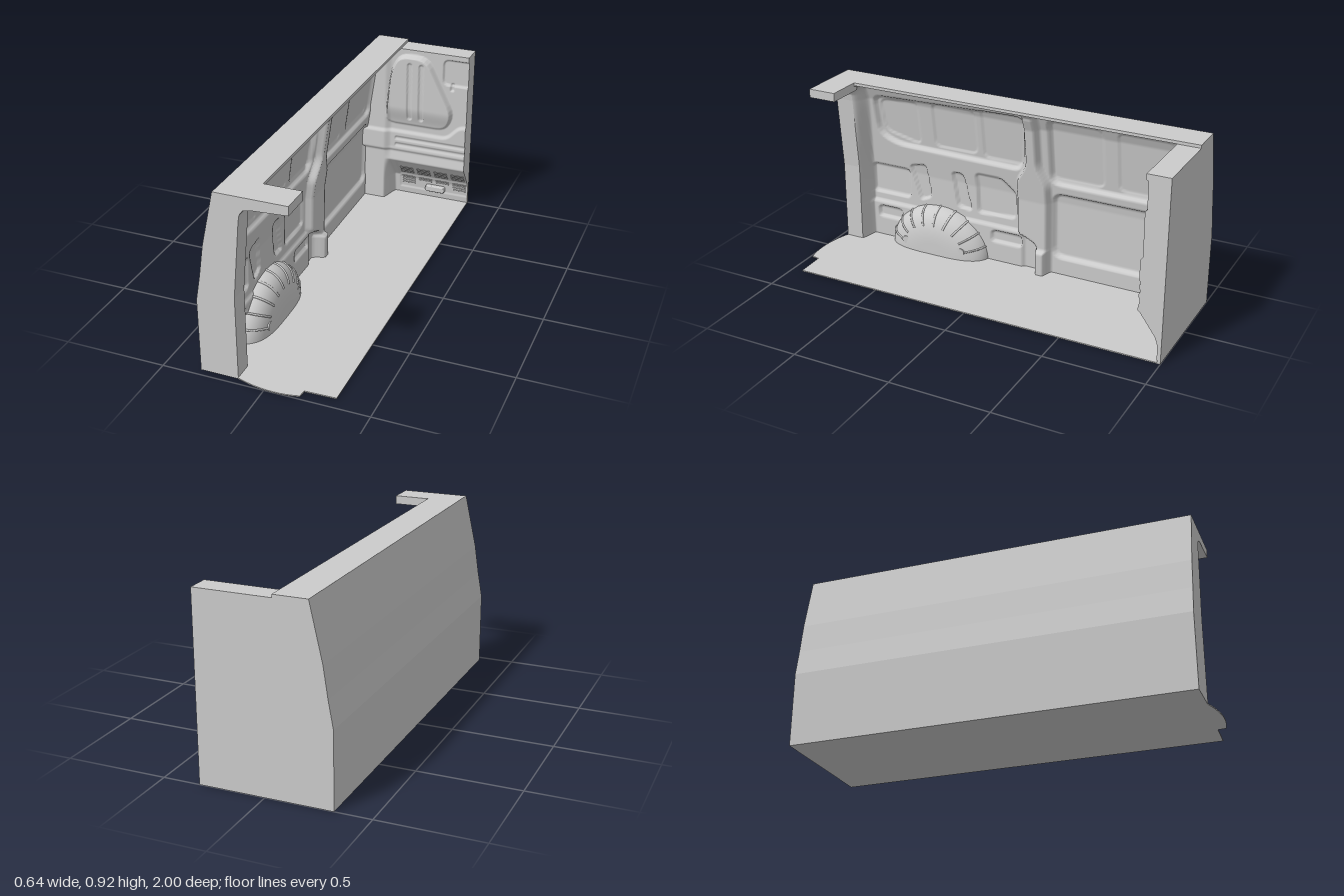
import * as THREE from 'three';

const grey = new THREE.MeshStandardMaterial({ color: 0xcccccc, side: THREE.DoubleSide });
const V = (a) => new THREE.Vector2(a[0], a[1]);
const step = THREE.MathUtils.smoothstep;
const rect = (a, b, c, d) => [[a, c], [b, c], [b, d], [a, d]];

// x at height y along a profile of [x, y] points
function profileX(pts, y) {
  const i = Math.max(1, pts.findIndex((p) => p[1] >= y));
  const [a, b] = [pts[i - 1], pts[i]];
  return a[0] + ((b[0] - a[0]) * (y - a[1])) / (b[1] - a[1]);
}

// polygon with filleted corners
function rounded(pts, r) {
  return pts.flatMap((p, i) => {
    const c = V(p);
    const cut = (q) => c.clone().lerp(q, Math.min(0.45, r / c.distanceTo(q)));
    const before = cut(V(pts.at(i - 1))), after = cut(V(pts[(i + 1) % pts.length]));
    return new THREE.QuadraticBezierCurve(before, c, after).getPoints(4);
  });
}

// pressing: height h inside a filleted polygon, easing in over width w
function pressing(h, r, w, pts) {
  const poly = rounded(pts, r), box = new THREE.Box2().setFromPoints(poly);
  return (x, y) => {
    if (!box.containsPoint(V([x, y]))) return 0;
    let d = 1, inside = false;
    poly.forEach((a, i) => {
      const b = poly[(i + 1) % poly.length], ex = b.x - a.x, ey = b.y - a.y;
      const t = THREE.MathUtils.clamp(((x - a.x) * ex + (y - a.y) * ey) / (ex * ex + ey * ey), 0, 1);
      d = Math.min(d, Math.hypot(x - a.x - ex * t, y - a.y - ey * t));
      if (a.y > y !== b.y > y && x < a.x + ((y - a.y) / ey) * ex) inside = !inside;
    });
    return inside ? h * step(d, 0, w) : 0;
  };
}
const total = (list, x, y) => list.reduce((s, f) => s + f(x, y), 0);

// pressed sheet: a plane whose vertices follow fn(u, v) => [x, y, z]
function sheet(nu, nv, fn) {
  const g = new THREE.PlaneGeometry(1, 1, nu, nv), p = g.attributes.position;
  for (let i = 0; i < p.count; i++) p.setXYZ(i, ...fn(p.getX(i) + 0.5, p.getY(i) + 0.5));
  g.computeVertexNormals();
  return g;
}
const extrude = (pts, z0, z1) =>
  new THREE.ExtrudeGeometry(new THREE.Shape(pts.map(V)), { depth: z1 - z0, bevelEnabled: false }).translate(0, 0, z0);

// body side profiles in (x, y): outer skin, door frame and inner structure
const outer = [[-0.325, 0], [-0.325, 0.37], [-0.302, 0.5], [-0.28, 0.65], [-0.22, 0.92]];
const frame = [[-0.14, 0], [-0.14, 0.42], [-0.105, 0.8], [-0.099, 0.835], [-0.083, 0.857], [-0.05, 0.866], [0.125, 0.92]];
const inner = [[-0.25, 0], [-0.24, 0.4], [-0.18, 0.8], [-0.15, 0.87], [-0.055, 0.906]];

// side wall pressings in (z, y)
const wallParts = [];
const pressWall = (h, r, w, ...shapes) => shapes.forEach((s) => wallParts.push(pressing(h, r, w, s)));
// centre pillar, its foot and the low ledge
pressWall(0.04, 0.03, 0.02, [[-0.07, 0.92], [-0.07, 0.6], [-0.01, 0.5], [-0.01, 0.2], [-0.12, 0.15], [-0.12, -0.05], [-0.2, -0.05], [-0.2, 0.5], [-0.155, 0.6], [-0.155, 0.92]]);
pressWall(0.025, 0.01, 0.015, rect(-0.19, -0.11, -0.05, 0.14));
pressWall(0.014, 0.01, 0.012, rect(0.9, -0.05, -0.05, 0.21));
// large window and door panels, then the panes inside them
pressWall(-0.022, 0.06, 0.02, [[0.8, 0.83], [0.79, 0.6], [0.68, 0.55], [-0.05, 0.54], [-0.08, 0.86]],
  rect(-0.19, -0.88, 0.5, 0.875), rect(-0.2, -0.88, 0.09, 0.46));
pressWall(-0.006, 0.04, 0.008, [[0.77, 0.8], [0.75, 0.62], [0.54, 0.57], [0.54, 0.82]],
  rect(0.46, 0.21, 0.58, 0.83), rect(0.18, -0.06, 0.57, 0.85), rect(-0.2, -0.48, 0.53, 0.855), rect(-0.55, -0.84, 0.53, 0.855));
// access openings
pressWall(-0.015, 0.025, 0.01, rect(0.85, 0.62, 0.25, 0.42), [[0.62, 0.45], [0.52, 0.47], [0.49, 0.28], [0.56, 0.25]],
  [[0.37, 0.46], [0.3, 0.46], [0.25, 0.25], [0.34, 0.26]], [[0.23, 0.48], [0.08, 0.48], [0, 0.41], [0, 0.26], [0.22, 0.25]],
  rect(0.82, 0.67, 0.11, 0.18), rect(0.14, -0.04, 0.11, 0.18));

// bulkhead section in (z, y) and pressings in (x, y)
const section = [[-0.985, 0], [-0.972, 0.12], [-0.878, 0.25], [-0.893, 0.33], [-0.887, 0.906]];
const panel = pressing(1, 0.06, 0.015, [[-0.14, 0.465], [0.21, 0.465], [0.255, 0.57], [0.1, 0.88], [-0.06, 0.88], [-0.11, 0.78]]);
const band = pressing(0.012, 0.03, 0.02, [[-0.4, 0.3], [0.4, 0.3], [0.4, 0.52], [0.28, 0.51], [0.21, 0.435], [-0.4, 0.435]]);
const hatch = pressing(-0.01, 0.035, 0.008, rect(0.18, 0.5, 0.73, 0.878));
const latch = pressing(-0.01, 0.01, 0.008, rect(0.222, 0.248, 0.7, 0.745));
const slots = [-0.01, 0.055].map((x) => pressing(-0.008, 0.015, 0.006, rect(x, x + 0.03, 0.505, 0.84)));
const grooves = [0.332, 0.372].map((y) => pressing(-0.006, 0.01, 0.006, rect(-0.08, 0.4, y, y + 0.024)));
const ventFields = [0.04, 0.125].map((y) => pressing(-0.004, 0.01, 0.006, rect(-0.075, 0.5, y, y * 1.5 + 0.055)));
const bulkParts = [band, hatch, latch, ...slots, ...grooves, ...ventFields];
function bulkheadZ(x, y) {
  const z = profileX(section, y), corner = 1 - step(x, -0.14, -0.1);
  const raised = panel(x, y) * (0.008 + 0.024 * step(y, 0.46, 0.58));
  return z + corner * Math.max(0, -0.875 - z) + raised + total(bulkParts, x, y);
}

export function createModel() {
  const model = new THREE.Group();
  const add = (name, geometry, parent = model) => {
    const m = new THREE.Mesh(geometry, grey);
    m.name = name;
    parent.add(m);
    return m;
  };

  // outer side skin, roof rail and back plate
  const inset = outer.map(([x, y]) => [x + 0.01, y]).reverse();
  add('outerSkin', extrude([...outer, ...inset], -1, 0.965));
  add('roofRail', extrude(rect(-0.22, -0.055, 0.905, 0.92), -1, 0.87));
  add('backPlate', extrude([...outer, [-0.055, 0.92], [-0.055, 0.905], [0.32, 0.905], [0.32, 0]], -1, -0.99));

  // door frame with its roof lip
  add('doorFrame', extrude([...frame.slice(0, -1), [0.125, 0.876], [0.125, 0.92], ...outer.slice().reverse()], 0.87, 0.965));
  add('roofLip', extrude(rect(-0.08, 0.125, 0.876, 0.92), 0.82, 0.87));

  // floor with the bowed sill step
  const sill = new THREE.QuadraticBezierCurve(V([0.165, 0.985]), V([0.02, 1.025]), V([-0.15, 0.963])).getPoints(10);
  const floor = [[-0.325, -1], [0.32, -1], [0.32, 0.94], [0.17, 0.945], ...sill.map((p) => [p.x, p.y]), [-0.325, 0.963]];
  add('floor', extrude(floor, 0, 0.006).rotateX(Math.PI / 2).translate(0, 0.006, 0));

  // pressed inner side wall, running into the door frame at its front edge
  add('sideWall', sheet(250, 120, (u, v) => {
    const z = 0.87 - 1.86 * u, y = 0.905 * v;
    const edge = step(z, 0.845 - 0.035 * step(y, 0.3, 0.9), 0.87);
    const x = profileX(inner, y) + total(wallParts, z, y) * (1 - step(y, 0.86, 0.9));
    return [THREE.MathUtils.lerp(x, profileX(frame, y), edge), y, z];
  }));

  // wheel arch: half a lathe with its axis laid along x, ribs and bosses on its face
  const arch = new THREE.Group();
  arch.name = 'wheelArch';
  arch.position.set(-0.27, 0, 0.44);
  arch.scale.y = 0.86;
  model.add(arch);
  const dome = Array.from({ length: 13 }, (_, i) => {
    const t = (i / 12) * Math.PI / 2;
    return new THREE.Vector2(0.285 * Math.max(0, Math.cos(t)) ** 0.6, 0.13 * Math.sin(t) ** 0.8);
  });
  const [X, Y, Z] = [new THREE.Vector3(1, 0, 0), new THREE.Vector3(0, 1, 0), new THREE.Vector3(0, 0, 1)];
  const shell = new THREE.LatheGeometry(dome, 48, -Math.PI / 2, Math.PI);
  add('archShell', shell.applyMatrix4(new THREE.Matrix4().makeBasis(Z, X, Y)), arch);
  for (let i = 1; i < 10; i++) {
    const a = (i * Math.PI) / 10;
    const path = dome.slice(0, 9).map((p) => new THREE.Vector3(p.y, p.x * Math.sin(a), p.x * Math.cos(a)));
    add('archRib', new THREE.TubeGeometry(new THREE.CatmullRomCurve3(path), 16, 0.006, 6), arch);
  }
  for (const s of [-1, 1])
    add('archBoss', new THREE.CylinderGeometry(0.025, 0.025, 0.03, 20).rotateZ(Math.PI / 2).translate(0.106, 0.06, s * 0.16), arch);

  // pressed bulkhead held inside the outer skin, closed at its top and open end
  add('bulkhead', sheet(140, 160, (u, v) => {
    const y = 0.905 * v;
    const x = THREE.MathUtils.lerp(Math.max(-0.27, profileX(outer, y) + 0.008), 0.32, u);
    return [x, y, bulkheadZ(x, y)];
  }));
  add('bulkheadTop', extrude(rect(-0.06, 0.32, 0.897, 0.905), -1, -0.887));
  add('bulkheadEnd', sheet(1, 160, (u, v) => {
    const y = 0.905 * v;
    return [0.32, y, THREE.MathUtils.lerp(bulkheadZ(0.32, y), -1, u)];
  }));

  // vent slats and grab handle in the lower bulkhead
  const vents = new THREE.Group();
  vents.name = 'vents';
  model.add(vents);
  for (let col = 0; col < 4; col++)
    for (let row = 0; row < 8; row++) {
      const x = -0.022 + 0.098 * col, y = 0.073 + 0.0135 * (row % 4) + (row > 3 ? 0.077 : 0);
      if (row < 2 && (col === 1 || col === 2)) continue;
      add('ventSlat', new THREE.CapsuleGeometry(0.003, 0.07, 3, 8).rotateZ(Math.PI / 2), vents).position.set(x, y, bulkheadZ(x, y) + 0.001);
    }
  const handle = new THREE.ExtrudeGeometry(new THREE.Shape(rounded(rect(-0.05, 0.05, -0.012, 0.012), 0.008)),
    { depth: 0.015, bevelSize: 0.006, bevelThickness: 0.008, bevelSegments: 3 });
  add('grabHandle', handle.translate(0.135, 0.064, -0.98));
  return model;
}
